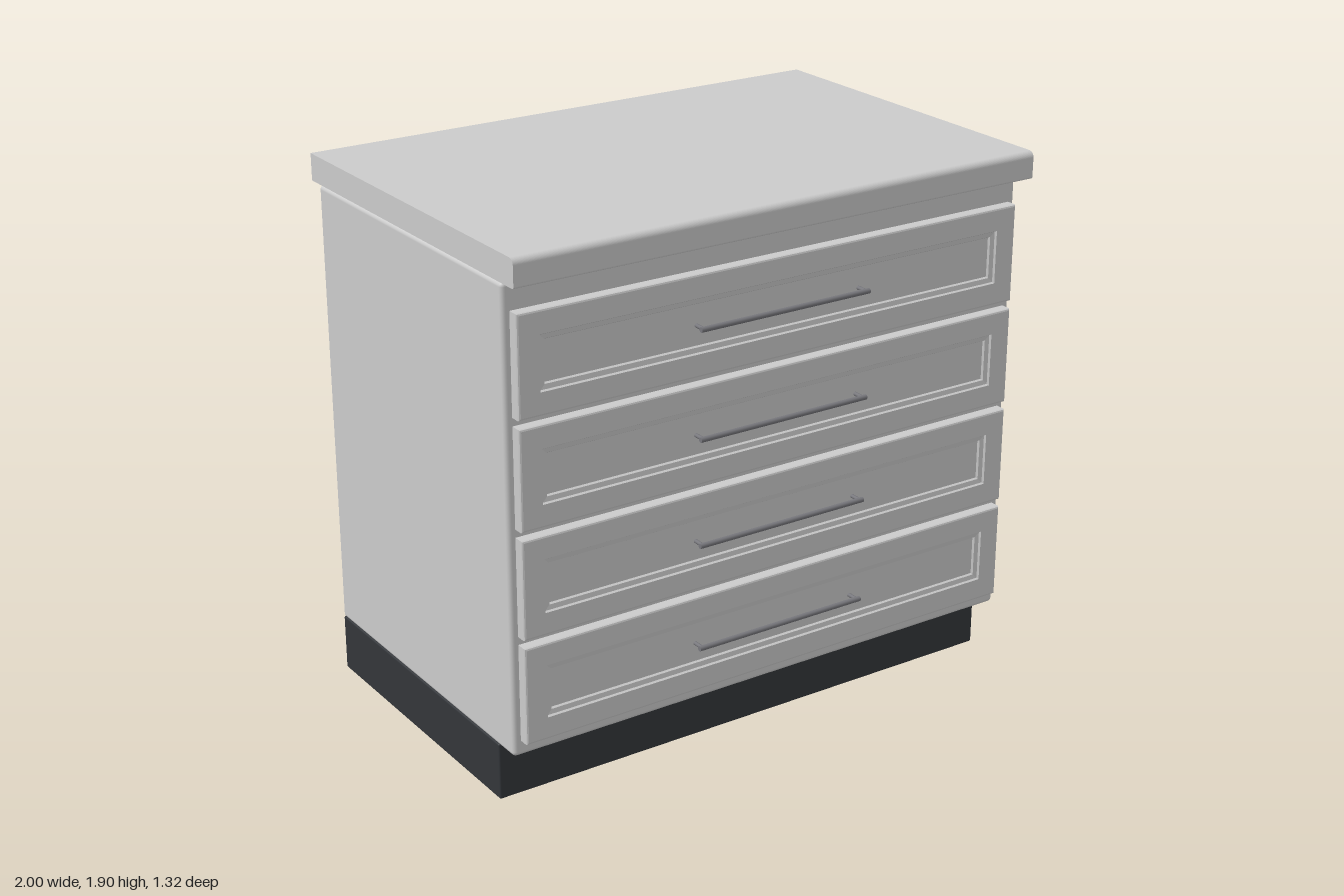
import * as THREE from 'three';
import { RoundedBoxGeometry } from 'three/addons/geometries/RoundedBoxGeometry.js';

const grey = new THREE.MeshStandardMaterial({ color: 0xcccccc });
const flatGrey = new THREE.MeshStandardMaterial({ color: 0xcccccc, flatShading: true });
const dark = new THREE.MeshStandardMaterial({ color: 0x33363a });
const metal = new THREE.MeshStandardMaterial({ color: 0x77777c });

function add(parent, name, geometry, material, x = 0, y = 0, z = 0) {
  const mesh = new THREE.Mesh(geometry, material);
  mesh.name = name;
  mesh.position.set(x, y, z);
  parent.add(mesh);
  return mesh;
}

// Box given by its limits, with softened edges
function softBox(parent, name, material, [x0, x1], [y0, y1], [z0, z1], r) {
  const g = new RoundedBoxGeometry(x1 - x0, y1 - y0, z1 - z0, 3, r);
  return add(parent, name, g, material, (x0 + x1) / 2, (y0 + y1) / 2, (z0 + z1) / 2);
}

// Panelled front: nested rectangles, each [inset, z], joined in order and capped
function panelGeometry(w, h, steps) {
  const rings = steps.map(([i, z]) => {
    const a = w / 2 - i, b = h / 2 - i;
    return [[-a, -b, z], [a, -b, z], [a, b, z], [-a, b, z]];
  });
  const pos = [];
  const quad = (a, b, c, d) => pos.push(...a, ...b, ...c, ...a, ...c, ...d);
  for (let r = 0; r < rings.length - 1; r++) {
    for (let k = 0; k < 4; k++) {
      const n = (k + 1) % 4;
      quad(rings[r][k], rings[r][n], rings[r + 1][n], rings[r + 1][k]);
    }
  }
  quad(...rings[rings.length - 1]);
  quad(...[...rings[0]].reverse());
  const g = new THREE.BufferGeometry();
  g.setAttribute('position', new THREE.Float32BufferAttribute(pos, 3));
  g.computeVertexNormals();
  return g;
}

// Worktop profile (z, y) with a rounded front edge, extruded across the width
function worktopGeometry() {
  const s = new THREE.Shape();
  const y0 = 1.806, y1 = 1.9, zf = 0.66, r = 0.022, q = 0.008;
  s.moveTo(-0.66, y0);
  s.lineTo(zf - q, y0);
  s.quadraticCurveTo(zf, y0, zf, y0 + q);
  s.lineTo(zf, y1 - r);
  s.absarc(zf - r, y1 - r, r, 0, Math.PI / 2, false);
  s.lineTo(-0.66, y1);
  s.closePath();
  const g = new THREE.ExtrudeGeometry(s, { depth: 2, bevelEnabled: false, curveSegments: 8 });
  g.rotateY(-Math.PI / 2); // profile z -> world z, extrusion -> -x
  return g.translate(1, 0, 0);
}

// Bar handle with two short legs into the drawer front
function makeHandle() {
  const handle = new THREE.Group();
  handle.name = 'handle';
  const bar = new THREE.CylinderGeometry(0.009, 0.009, 0.66, 16).rotateZ(Math.PI / 2);
  add(handle, 'handleBar', bar, metal, 0, 0, 0.65);
  const leg = new THREE.CylinderGeometry(0.007, 0.007, 0.045, 12).rotateX(Math.PI / 2);
  for (const side of [-1, 1]) add(handle, 'handleLeg', leg, metal, side * 0.318, 0, 0.63);
  return handle;
}

export function createModel() {
  const model = new THREE.Group();
  model.name = 'drawerCabinet';

  // Plinth, set back at the front, and carcass
  softBox(model, 'plinth', dark, [-0.995, 0.995], [0, 0.204], [-0.617, 0.48], 0.006);
  softBox(model, 'carcass', grey, [-0.997, 0.997], [0.204, 1.802], [-0.617, 0.58], 0.015);

  // Worktop
  add(model, 'worktop', worktopGeometry(), grey);

  // Four drawers with recessed panels
  const front = panelGeometry(1.94, 0.342, [
    [0, 0.575], [0, 0.613], [0.002, 0.618], [0.007, 0.62],
    [0.078, 0.62], [0.082, 0.613], [0.098, 0.61], [0.102, 0.603],
  ]);
  for (let i = 0; i < 4; i++) {
    const drawer = new THREE.Group();
    drawer.name = 'drawer';
    drawer.position.y = 0.43 + i * 0.37;
    add(drawer, 'drawerFront', front, flatGrey);
    drawer.add(makeHandle());
    model.add(drawer);
  }
  return model;
}
